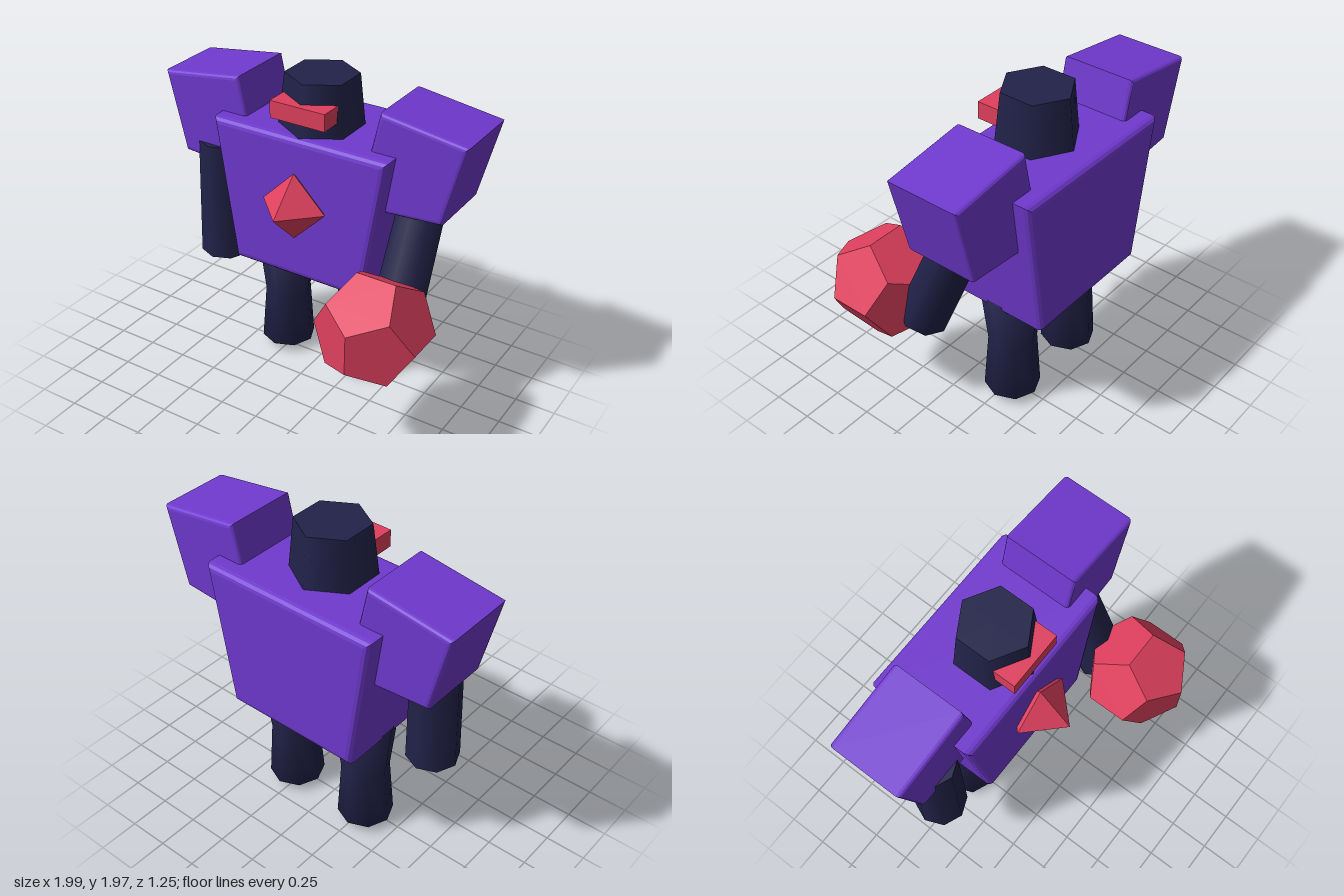
import * as THREE from 'three';

const material = (name, color) => {
  const m = new THREE.MeshStandardMaterial({ color });
  m.name = name;
  return m;
};

export function createModel() {
  const purple = material('purple armour', 0x7039cf);
  const navy = material('dark navy', 0x22224a);
  const red = material('crimson', 0xe0405e);
  const model = new THREE.Group();
  model.name = 'robot';

  const add = (name, geometry, mat, x = 0, y = 0, z = 0) => {
    const mesh = new THREE.Mesh(geometry, mat);
    mesh.name = name;
    mesh.position.set(x, y, z);
    model.add(mesh);
    return mesh;
  };

  // Outline extruded from zBack to zFront, bevelled inside the outline
  const slab = (points, zBack, zFront, bevel) => {
    const shape = new THREE.Shape(points.map(([x, y]) => new THREE.Vector2(x, y)));
    return new THREE.ExtrudeGeometry(shape, {
      depth: zFront - zBack - 2 * bevel,
      bevelThickness: bevel,
      bevelSize: bevel,
      bevelOffset: -bevel,
      bevelSegments: 3,
    }).translate(0, 0, zBack + bevel);
  };

  // Torso, wider at the top
  add('torso', slab([[-0.44, 0.75], [0.44, 0.75], [0.577, 1.655], [-0.577, 1.655]], -0.63, 0.05, 0.04), purple);

  // Head and visor
  add('head', new THREE.CylinderGeometry(0.215, 0.258, 0.385, 6), navy, 0, 1.7725, -0.225);
  add('visor', new THREE.BoxGeometry(0.36, 0.105, 0.15), red, 0, 1.797, -0.035);

  // Chest gem
  add('chestGem', new THREE.OctahedronGeometry(0.21), red, 0, 1.245, 0.075);

  // Shoulders and legs, mirrored
  const legProfile = [[0, 0], [0.17, 0.055], [0.145, 0.42], [0.187, 0.775], [0, 0.785]]
    .map(([r, y]) => new THREE.Vector2(r, y));
  for (const [side, prefix] of [[1, 'left'], [-1, 'right']]) {
    const outline = [[0.465, 1.89], [0.995, 1.815], [0.87, 1.32], [0.33, 1.28]];
    add(prefix + 'Shoulder', slab(outline.map(([x, y]) => [x * side, y]), -0.52, -0.055, 0.025), purple);
    add(prefix + 'Leg', new THREE.LatheGeometry(legProfile, 8), navy, side * 0.278, 0, -0.287);
  }

  // Arms: the right one hangs straight, the left one swings forward
  const armGeometry = new THREE.CylinderGeometry(0.145, 0.158, 0.765, 8);
  add('rightArm', armGeometry, navy, -0.667, 1.0275, -0.16);
  add('leftArm', armGeometry, navy, 0.667, 1.03, -0.107).rotation.x = -0.412;

  // Large faceted fist on the left arm
  add('leftFist', new THREE.DodecahedronGeometry(0.34), red, 0.68, 0.796, 0.307);

  return model;
}
